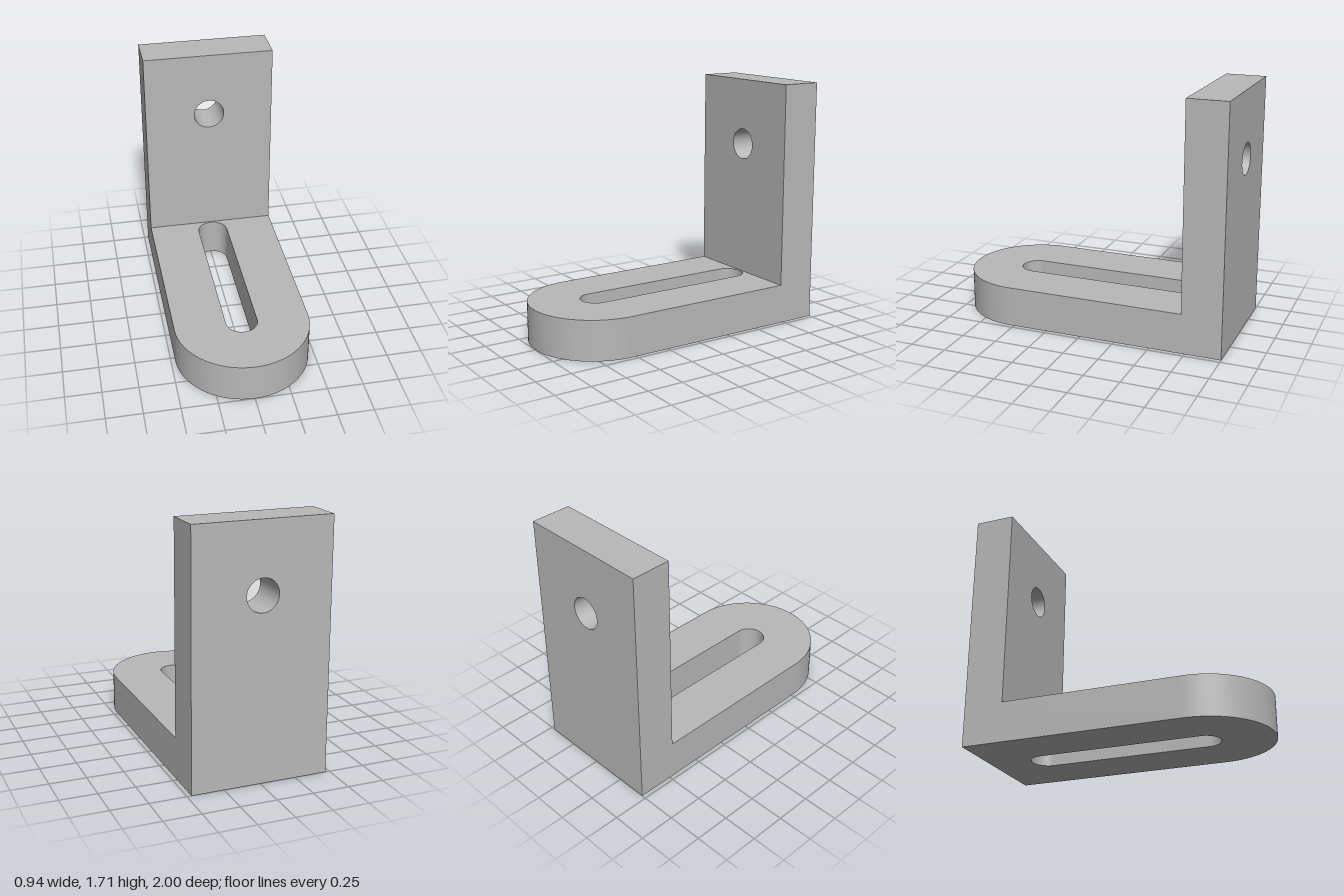
import * as THREE from 'three';
import { toCreasedNormals } from 'three/addons/utils/BufferGeometryUtils.js';

const HALF_WIDTH = 0.47, THICKNESS = 0.28, HEIGHT = 1.71, HOLE_RADIUS = 0.11;

// Extrude a flat outline, keeping curves smooth and corners sharp
function plate(shape) {
  const geometry = new THREE.ExtrudeGeometry(shape, {
    depth: THICKNESS, bevelEnabled: false, curveSegments: 40,
  });
  return toCreasedNormals(geometry, Math.PI / 6);
}

export function createModel() {
  const group = new THREE.Group();
  group.name = 'angleBracket';
  const steel = new THREE.MeshStandardMaterial({ color: 0xb8b8b8 });
  steel.name = 'steelGrey';

  // Base plate: square at the back, half-round at the front
  const frontCentre = -1 + HALF_WIDTH;
  const baseShape = new THREE.Shape();
  baseShape.moveTo(-HALF_WIDTH, 1);
  baseShape.lineTo(-HALF_WIDTH, frontCentre);
  baseShape.absarc(0, frontCentre, HALF_WIDTH, Math.PI, Math.PI * 2, false);
  baseShape.lineTo(HALF_WIDTH, 1);
  baseShape.closePath();

  // Long adjustment slot with round ends
  const slot = new THREE.Path();
  slot.absarc(0, 0.6, HOLE_RADIUS, 0, Math.PI, false);
  slot.absarc(0, frontCentre, HOLE_RADIUS, Math.PI, Math.PI * 2, false);
  slot.closePath();
  baseShape.holes.push(slot);

  const base = new THREE.Mesh(plate(baseShape).rotateX(-Math.PI / 2), steel);
  base.name = 'slottedBase';
  group.add(base);

  // Upright plate with a round bolt hole
  const uprightShape = new THREE.Shape();
  uprightShape.moveTo(-HALF_WIDTH, THICKNESS);
  uprightShape.lineTo(HALF_WIDTH, THICKNESS);
  uprightShape.lineTo(HALF_WIDTH, HEIGHT);
  uprightShape.lineTo(-HALF_WIDTH, HEIGHT);
  uprightShape.closePath();
  const boltHole = new THREE.Path();
  boltHole.absarc(0, 1.24, HOLE_RADIUS, 0, Math.PI * 2, false);
  uprightShape.holes.push(boltHole);

  const upright = new THREE.Mesh(plate(uprightShape), steel);
  upright.name = 'uprightPlate';
  upright.position.z = -1;
  group.add(upright);

  return group;
}
